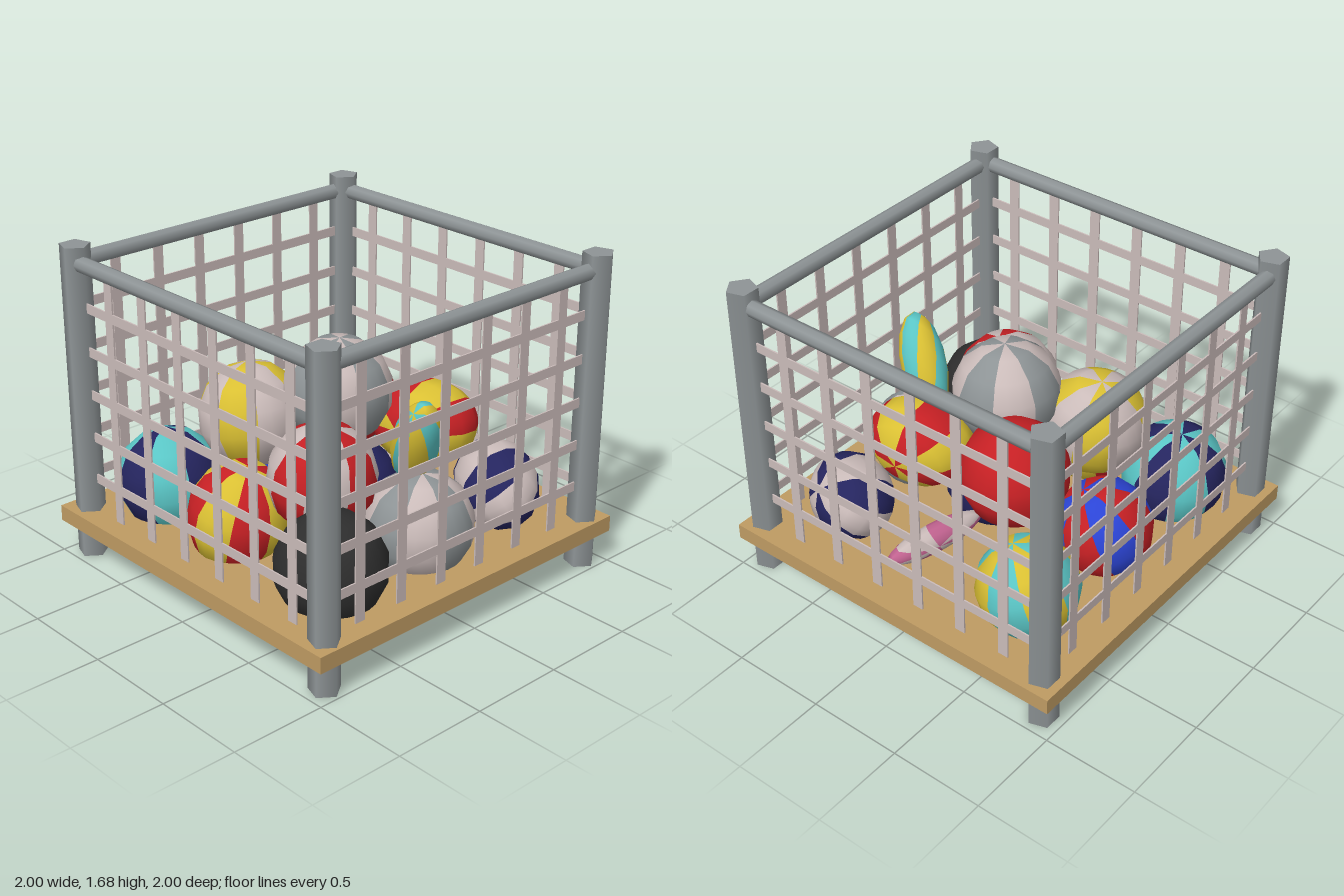
import * as THREE from 'three';
import { mergeGeometries } from 'three/addons/utils/BufferGeometryUtils.js';

const colours = {
  metal: 0x8e9496, wood: 0xbf9b63, pale: 0xcbbcba, red: 0xc62024, yellow: 0xdac033,
  teal: 0x5ac6c6, navy: 0x25255f, blue: 0x2c45d6, pink: 0xc0628f, black: 0x2e2e2e,
};

const R = 0.278; // ball radius

// x, y, z, first colour, second colour, pole direction, turn in wedges
const balls = [
  [-0.56, 0.42, -0.58, 'teal', 'yellow', [0.5, 0, 0.85], 0],
  [0.02, 0.42, -0.59, 'pink', 'pale', [0.5, 0, -0.85], 0],
  [0.57, 0.42, -0.6, 'navy', 'pale', [0.17, 0.17, -0.1], 0],
  [-0.58, 0.42, 0, 'red', 'blue', [0.65, 0, 0.75], -0.4],
  [-0.61, 0.42, 0.58, 'navy', 'teal', [-0.09, 0.17, 0.21], 0.5],
  [-0.06, 0.42, 0.58, 'yellow', 'red', [0.1, -0.11, 0.22], 0],
  [0.62, 0.41, 0.59, 'black', 'black', [0, 0, 1], 0],
  [0.61, 0.42, 0, 'metal', 'pale', [0.1, -0.2, 1], 0],
  [0.09, 0.42, 0, 'navy', 'navy', [0, 0, 1], 0],
  [-0.23, 0.76, -0.27, 'red', 'red', [0, 0, 1], 0],
  [0.3, 0.75, -0.35, 'red', 'yellow', [-0.12, 0.15, -0.19], 0],
  [0.33, 0.7, 0.38, 'red', 'pale', [0.08, 0.25, 0.05], 0.3],
  [-0.31, 0.79, 0.28, 'pale', 'yellow', [-0.35, 0.1, 0.9], 0],
  [0.61, 0.87, 0.03, 'teal', 'yellow', [0.8, 0.1, -0.55], 0],
  [0.05, 0.96, 0.02, 'metal', 'pale', [0.08, 0, 1], 0],
];

export function createModel() {
  const model = new THREE.Group();
  model.name = 'ballCage';

  const mat = {};
  for (const [name, color] of Object.entries(colours)) {
    mat[name] = new THREE.MeshStandardMaterial({ color });
    mat[name].name = name;
  }

  const add = (parent, name, geometry, material, x = 0, y = 0, z = 0) => {
    const mesh = new THREE.Mesh(geometry, material);
    mesh.name = name;
    mesh.position.set(x, y, z);
    parent.add(mesh);
    return mesh;
  };

  // Wooden floor
  add(model, 'floor', new THREE.BoxGeometry(2, 0.085, 2), mat.wood, 0, 0.215, 0);

  // Five-sided corner posts
  const post = new THREE.CylinderGeometry(0.08, 0.08, 1.68, 5, 1, false, Math.PI / 2);
  for (const x of [-0.89, 0.905])
    for (const z of [-0.89, 0.89]) add(model, 'post', post, mat.metal, x, 0.84, z);

  // Top rails
  const rail = new THREE.CylinderGeometry(0.042, 0.042, 1.68, 8);
  for (const s of [-1, 1]) {
    add(model, 'rail', rail, mat.metal, 0, 1.592, s * 0.895).rotation.z = Math.PI / 2;
    add(model, 'sideRail', rail, mat.metal, s * 0.9, 1.592, 0).rotation.x = Math.PI / 2;
  }

  // Netting on each side: flat upright and level straps
  const upright = new THREE.BoxGeometry(0.058, 1.32, 0.008);
  const level = new THREE.BoxGeometry(1.68, 0.05, 0.008);
  const shifts = [0.03, 0, -0.005, -0.005]; // front, right, back, left
  shifts.forEach((shift, side) => {
    const net = new THREE.Group();
    net.name = 'net';
    for (let i = 0; i < 6; i++)
      add(net, 'uprightStrap', upright, mat.pale, (i - 2.5) * 0.264 + shift, 0.91, 0.89);
    for (let i = 0; i < 5; i++)
      add(net, 'levelStrap', level, mat.pale, 0, 0.445 + i * 0.231, 0.89);
    net.rotation.y = side * Math.PI / 2;
    model.add(net);
  });

  // Every other wedge of an eight-panel ball
  const wedges = (first) => mergeGeometries([0, 2, 4, 6].map((k) =>
    new THREE.SphereGeometry(R, 1, 7, (k + first - 0.5) * Math.PI / 4, Math.PI / 4)));
  const evenPanels = wedges(0);
  const oddPanels = wedges(1);

  // Pile of balls, each turned so its pole follows the given direction
  for (const [x, y, z, first, second, pole, turn] of balls) {
    const ball = new THREE.Group();
    ball.name = 'ball';
    add(ball, 'panels', evenPanels, mat[first]);
    add(ball, 'otherPanels', oddPanels, mat[second]);
    const axis = new THREE.Vector3(...pole).normalize();
    const across = new THREE.Vector3().crossVectors(axis, new THREE.Vector3(0, 1, 0)).normalize();
    const top = new THREE.Vector3().crossVectors(across, axis);
    ball.quaternion.setFromRotationMatrix(new THREE.Matrix4().makeBasis(across.negate(), axis, top));
    ball.rotateY(turn * Math.PI / 4);
    ball.position.set(x, y, z);
    model.add(ball);
  }

  return model;
}
